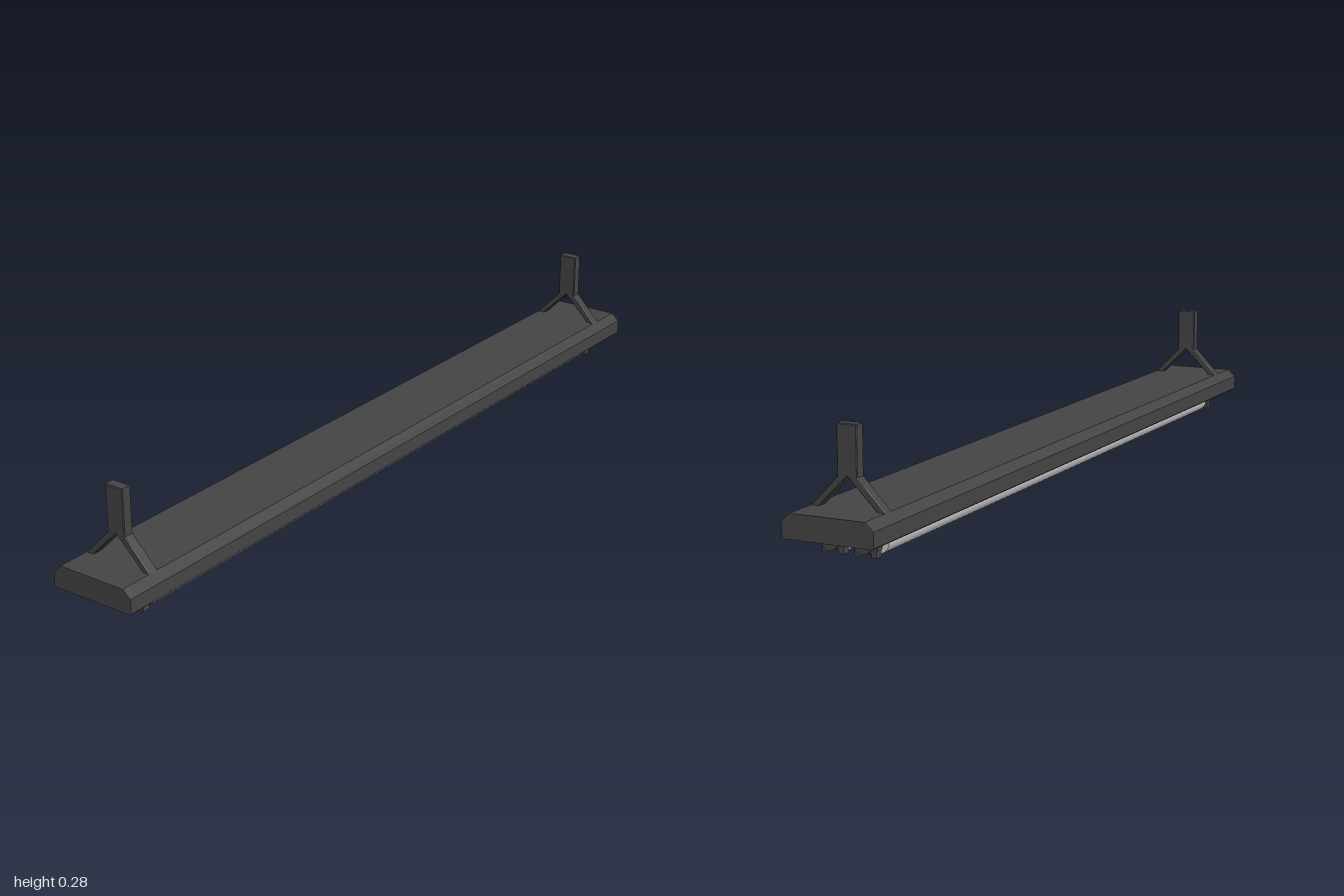
import * as THREE from 'three';

const dark = new THREE.MeshStandardMaterial({ color: 0x444444 });
const glass = new THREE.MeshStandardMaterial({ color: 0xcccccc });

// Extrudes a (z, y) outline along x, centred on x = cx
function extrudeX(points, width, cx, name, bevel = 0) {
  const shape = new THREE.Shape(points.map(([z, y]) => new THREE.Vector2(z, y)));
  const depth = width - 2 * bevel;
  const geo = new THREE.ExtrudeGeometry(shape, {
    depth, bevelEnabled: bevel > 0, bevelSize: bevel, bevelOffset: -bevel,
    bevelThickness: bevel, bevelSegments: 1,
  });
  geo.translate(0, 0, -depth / 2).rotateY(Math.PI / 2).translate(cx, 0, 0);
  const mesh = new THREE.Mesh(geo, dark);
  mesh.name = name;
  return mesh;
}

function cylinderX(radius, length, x, y, z, material, name) {
  const geo = new THREE.CylinderGeometry(radius, radius, length, 32).rotateZ(Math.PI / 2);
  const mesh = new THREE.Mesh(geo, material);
  mesh.position.set(x, y, z);
  mesh.name = name;
  return mesh;
}

// Mirrors the +z half of an outline into a closed loop
const mirrored = half => [...half, ...half.slice().reverse().map(([z, y]) => [-z, y])];

export function createModel() {
  const model = new THREE.Group();
  const tubeY = 0.033, tubeZ = 0.039;

  // Housing: an open-bottomed tray with chamfered top edges
  const housing = new THREE.Group();
  housing.name = 'housing';
  const outer = [[0.105, 0.048], [0.108, 0.051], [0.108, 0.085], [0.088, 0.103]];
  const inner = [[0.084, 0.092], [0.096, 0.081], [0.096, 0.048]];
  const mir = list => list.map(([z, y]) => [-z, y]);
  housing.add(extrudeX([
    ...outer, ...mir(outer).reverse(), ...mir(inner).reverse(), ...inner,
  ], 1.97, 0, 'trayChannel'));
  for (const s of [-1, 1]) {
    housing.add(extrudeX(mirrored(outer), 0.015, s * 0.9925, 'trayEnd'));
  }
  model.add(housing);

  // Fluorescent tubes
  for (const sz of [-1, 1]) {
    model.add(cylinderX(0.031, 1.75, 0, tubeY, sz * tubeZ, glass, 'lampTube'));
  }

  for (const sx of [-1, 1]) {
    // Y-shaped hanging bracket: stem and two splayed legs
    model.add(extrudeX([
      [-0.024, 0.28], [-0.024, 0.17], [-0.096, 0.095], [-0.076, 0.095], [0, 0.17],
      [0.076, 0.095], [0.096, 0.095], [0.024, 0.17], [0.024, 0.28],
    ], 0.026, sx * 0.907, 'hangingBracket', 0.002));

    // Lamp sockets: forked holder, end cap and the pin collar of the tube
    for (const sz of [-1, 1]) {
      const socket = new THREE.Group();
      socket.name = 'lampSocket';
      socket.position.z = sz * tubeZ;
      socket.add(extrudeX(mirrored([
        [0.014, 0.016], [0.014, 0.006], [0.026, 0.006], [0.026, 0.02],
        [0.028, 0.024], [0.028, 0.094],
      ]), 0.02, sx * 0.908, 'socketHolder'));
      socket.add(cylinderX(0.019, 0.014, sx * 0.924, tubeY, 0, dark, 'socketCap'));
      socket.add(cylinderX(0.016, 0.03, sx * 0.885, tubeY, 0, dark, 'tubeCollar'));
      model.add(socket);
    }
  }
  return model;
}
